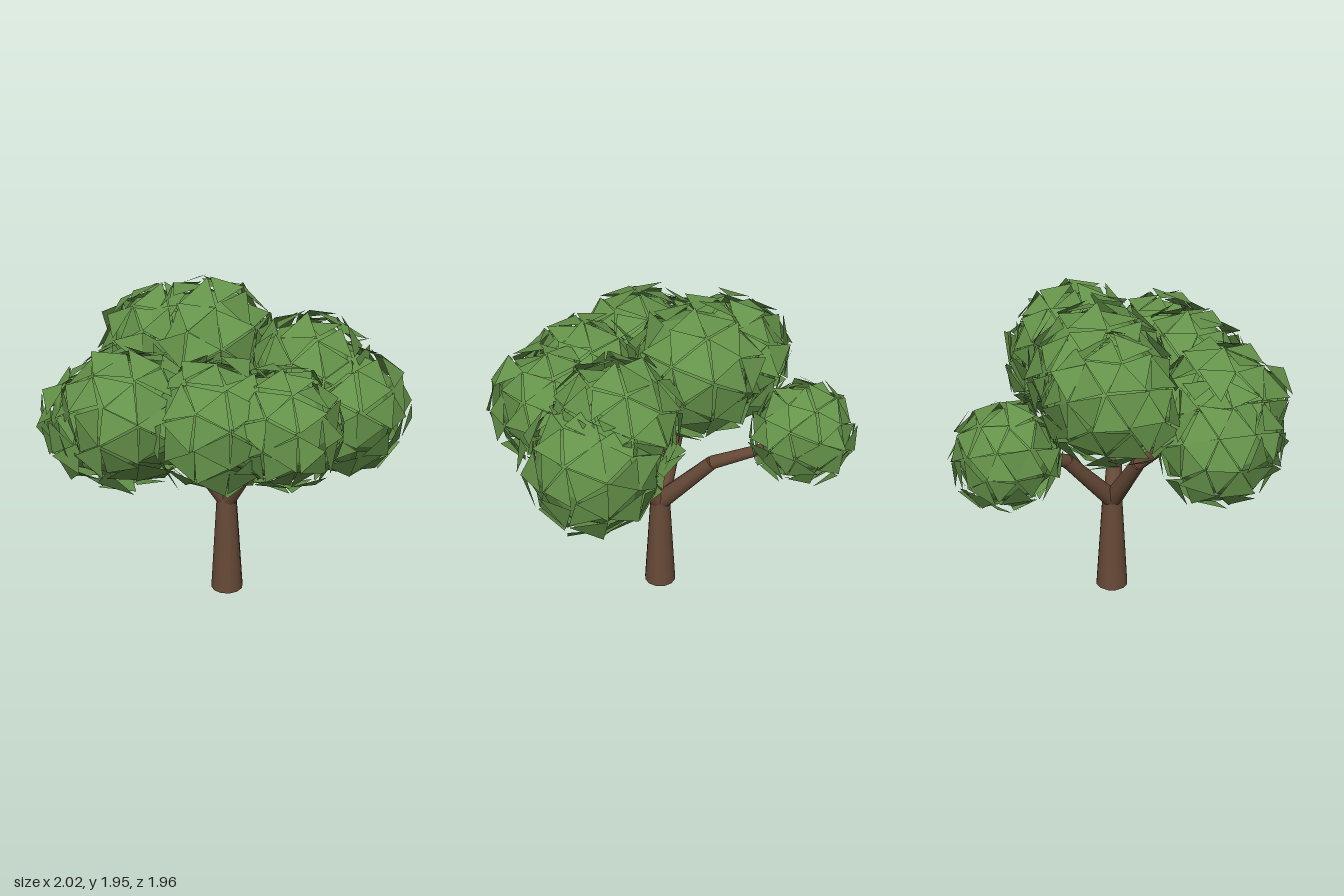
import * as THREE from 'three';

const bark = new THREE.MeshStandardMaterial({ color: 0x674a37, roughness: 0.9 });
const leaf = new THREE.MeshStandardMaterial({
  color: 0x65934a, roughness: 0.9, flatShading: true, side: THREE.DoubleSide,
});

// small seeded random generator
function seeded(seed) {
  let s = seed;
  return () => {
    s = (s * 16807) % 2147483647;
    return s / 2147483647;
  };
}

// tapered round limb between two points
function limb(name, from, to, r0, r1, sides = 12) {
  const a = new THREE.Vector3(...from), b = new THREE.Vector3(...to);
  const dir = b.clone().sub(a);
  const mesh = new THREE.Mesh(new THREE.CylinderGeometry(r1, r0, dir.length(), sides), bark);
  mesh.position.copy(a).add(b).multiplyScalar(0.5);
  mesh.quaternion.setFromUnitVectors(new THREE.Vector3(0, 1, 0), dir.normalize());
  mesh.name = name;
  return mesh;
}

// loose triangular leaves: each face of a ball is pushed out and tilted a little
function looseLeaves(radius, rand) {
  const geo = new THREE.IcosahedronGeometry(radius, 1);
  const pos = geo.attributes.position;
  const v = new THREE.Vector3(), mid = new THREE.Vector3();
  for (let f = 0; f < pos.count; f += 3) {
    mid.set(0, 0, 0);
    for (let k = 0; k < 3; k++) mid.add(v.fromBufferAttribute(pos, f + k));
    mid.normalize();
    const push = radius * 0.08 * rand();
    for (let k = 0; k < 3; k++) {
      const tilt = radius * 0.22 * (rand() - 0.5);
      v.fromBufferAttribute(pos, f + k).addScaledVector(mid, push + tilt);
      pos.setXYZ(f + k, v.x, v.y, v.z);
    }
  }
  geo.computeVertexNormals();
  return geo;
}

// solid core wrapped in loose leaves
function leafBall(name, [x, y, z], radius, rand) {
  const ball = new THREE.Group();
  const core = new THREE.Mesh(new THREE.IcosahedronGeometry(radius * 0.89, 1), leaf);
  core.name = 'leafCore';
  const shell = new THREE.Mesh(looseLeaves(radius, rand), leaf);
  shell.name = 'looseLeaves';
  ball.add(core, shell);
  ball.position.set(x, y, z);
  ball.name = name;
  return ball;
}

export function createModel() {
  const tree = new THREE.Group();
  tree.name = 'tree';

  // trunk
  tree.add(limb('trunk', [-0.05, 0, 0.045], [-0.05, 0.63, 0.045], 0.098, 0.06));

  // branches, each a chain of limbs from the fork
  const branches = {
    leftBranch: [[-0.05, 0.6, 0.045], [0.17, 0.96, 0.13], [0.36, 1.22, 0.04]],
    leftFrontTwig: [[0.15, 0.92, 0.12], [0.26, 1.06, 0.28], [0.36, 1.2, 0.42]],
    rightBranch: [[-0.05, 0.6, 0.045], [-0.29, 0.96, 0.13], [-0.46, 1.2, 0.32]],
    backBranch: [[-0.05, 0.6, 0.045], [-0.17, 0.97, -0.26], [-0.34, 1.14, -0.56]],
  };
  for (const [name, path] of Object.entries(branches)) {
    const thick = name.endsWith('Twig') ? 0.032 : 0.057;
    const group = new THREE.Group();
    group.name = name;
    for (let i = 0; i < path.length - 1; i++) {
      const r = thick * (1 - i * 0.3);
      group.add(limb(name + 'Section', path[i], path[i + 1], r, r * 0.72, 10));
    }
    tree.add(group);
  }

  // foliage
  const rand = seeded(4711);
  const foliage = new THREE.Group();
  foliage.name = 'foliage';
  const balls = [
    ['frontRightLeaves', [-0.42, 1.31, 0.57], 0.37],
    ['lowRightLeaves', [-0.62, 1.23, 0.49], 0.335],
    ['frontLeaves', [0.08, 1.33, 0.53], 0.355],
    ['frontLeftLeaves', [0.43, 1.34, 0.47], 0.32],
    ['crownLeaves', [-0.2, 1.52, -0.08], 0.38],
    ['crownRightLeaves', [-0.48, 1.49, -0.08], 0.355],
    ['leftLeaves', [0.6, 1.26, -0.07], 0.37],
    ['upperLeftLeaves', [0.4, 1.43, -0.06], 0.35],
    ['backLeaves', [-0.475, 1.23, -0.665], 0.285],
  ];
  for (const [name, centre, radius] of balls) foliage.add(leafBall(name, centre, radius, rand));
  tree.add(foliage);

  return tree;
}
